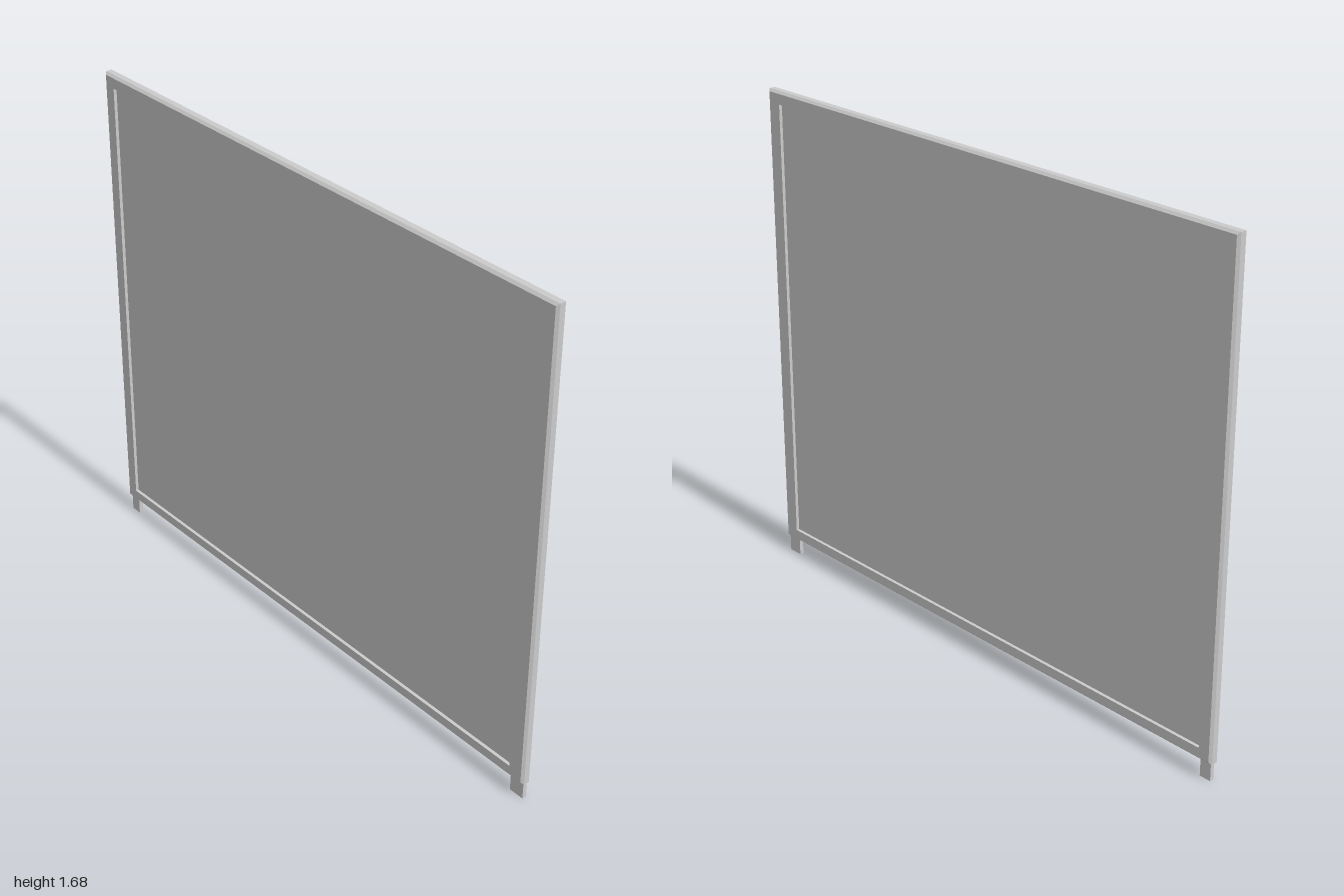
import * as THREE from 'three';

const material = new THREE.MeshStandardMaterial({ color: 0xcccccc });

// Outer limits and opening of the frame in the z-y plane
const outer = { z0: -1, z1: 1, y0: 0.06, y1: 1.685 };
const opening = { z0: -0.953, z1: 0.943, y0: 0.1, y1: 1.642 };
const halfDepth = 0.018;
const chamfer = 0.008;

// Four corners of a rectangle at depth x, anticlockwise seen from +x
function ring(r, inset, x) {
  const z0 = r.z0 + inset, z1 = r.z1 - inset, y0 = r.y0 + inset, y1 = r.y1 - inset;
  return [[x, y0, z1], [x, y0, z0], [x, y1, z0], [x, y1, z1]];
}

// Mitred frame: chamfered outer edge, square inner edge
function frameGeometry() {
  const rings = [
    ring(outer, chamfer, -halfDepth),
    ring(outer, 0, chamfer - halfDepth),
    ring(outer, 0, halfDepth - chamfer),
    ring(outer, chamfer, halfDepth),
    ring(opening, 0, halfDepth),
    ring(opening, 0, -halfDepth),
  ];
  const positions = [];
  for (let j = 0; j < rings.length; j++) {
    const from = rings[j], to = rings[(j + 1) % rings.length];
    for (let k = 0; k < 4; k++) {
      const n = (k + 1) % 4;
      positions.push(...from[k], ...from[n], ...to[n], ...from[k], ...to[n], ...to[k]);
    }
  }
  const geometry = new THREE.BufferGeometry();
  geometry.setAttribute('position', new THREE.Float32BufferAttribute(positions, 3));
  geometry.computeVertexNormals();
  return geometry;
}

// Box between two z and two y limits, centred on x = 0
function slab(name, thickness, r) {
  const mesh = new THREE.Mesh(new THREE.BoxGeometry(thickness, r.y1 - r.y0, r.z1 - r.z0), material);
  mesh.position.set(0, (r.y0 + r.y1) / 2, (r.z0 + r.z1) / 2);
  mesh.name = name;
  return mesh;
}

export function createModel() {
  const model = new THREE.Group();
  model.name = 'framedPanel';

  const frame = new THREE.Mesh(frameGeometry(), material);
  frame.name = 'frame';
  model.add(frame);

  // Recessed panel filling the opening
  model.add(slab('panel', 0.014, opening));

  // Short feet under each upright
  model.add(slab('frontFoot', 0.014, { z0: 0.942, z1: 0.995, y0: 0, y1: 0.07 }));
  model.add(slab('rearFoot', 0.014, { z0: -0.993, z1: -0.953, y0: 0, y1: 0.07 }));

  return model;
}
